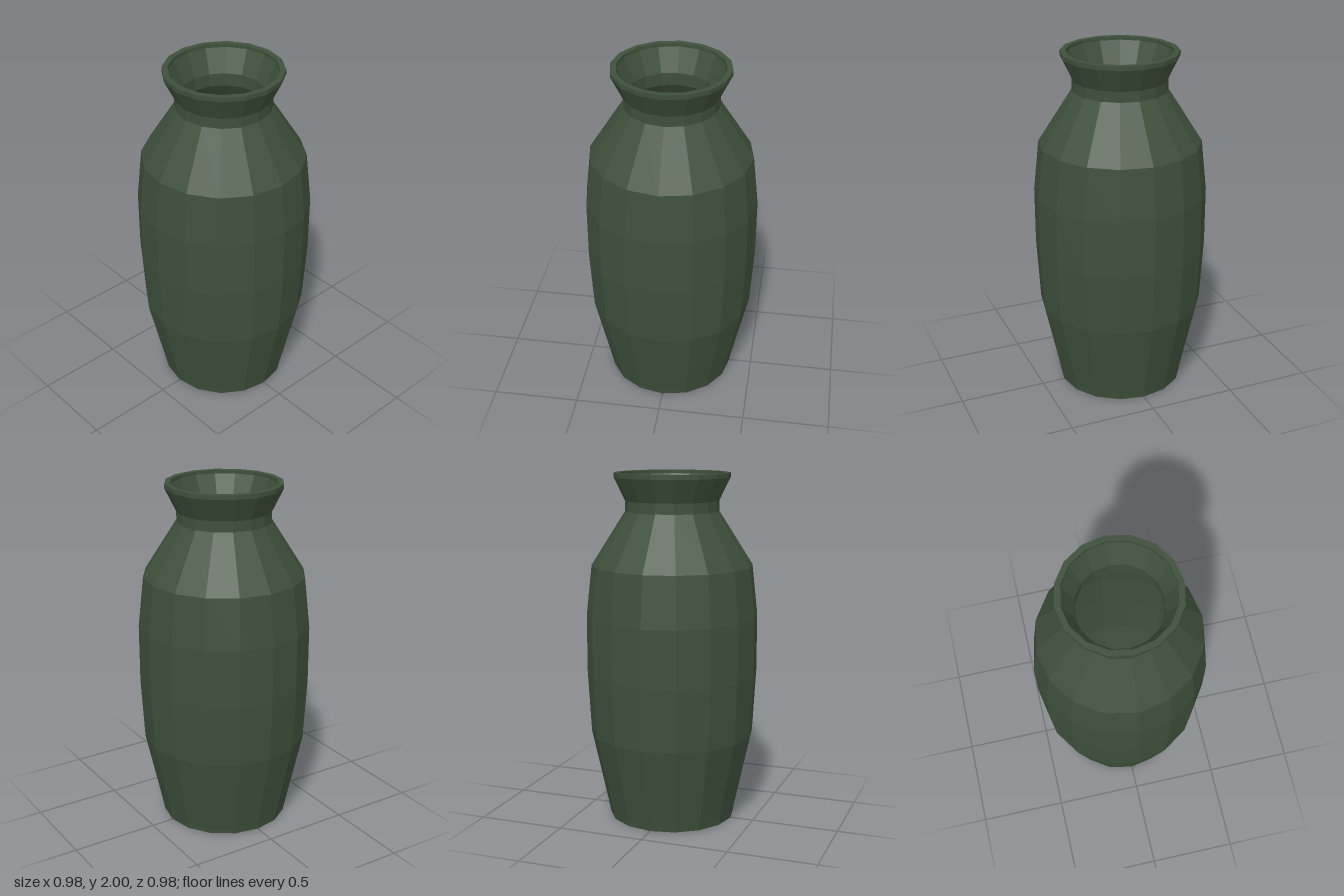
import * as THREE from 'three';

const SIDES = 16;

export function createModel() {
  const group = new THREE.Group();
  group.name = 'vase';
  const material = new THREE.MeshStandardMaterial({
    color: 0x3e503b, flatShading: true, side: THREE.DoubleSide,
  });

  // Lathes a profile of [radius, height] points into a faceted surface
  const addPart = (name, profile) => {
    const points = profile.map(([r, y]) => new THREE.Vector2(r, y));
    const mesh = new THREE.Mesh(new THREE.LatheGeometry(points, SIDES), material);
    mesh.name = name;
    group.add(mesh);
  };

  // Recessed underside and foot ring
  addPart('foot', [[0, 0.035], [0.355, 0.035], [0.36, 0], [0.365, 0], [0.37, 0.03]]);

  // Outer wall up to the neck
  addPart('body', [[0.37, 0.03], [0.472, 0.5], [0.492, 0.86], [0.492, 1.19], [0.46, 1.48], [0.267, 1.785]]);

  // Neck, flared lip and the inside of the mouth
  addPart('neckAndLip', [
    [0.267, 1.785], [0.267, 1.845], [0.33, 1.975], [0.33, 2],
    [0.298, 2], [0.298, 1.98], [0.235, 1.85], [0.235, 1.775],
  ]);

  // Hollow inside, down to the floor
  addPart('interior', [
    [0.235, 1.775], [0.43, 1.47], [0.46, 1.19], [0.46, 0.86], [0.44, 0.5], [0.345, 0.065], [0, 0.065],
  ]);

  return group;
}
